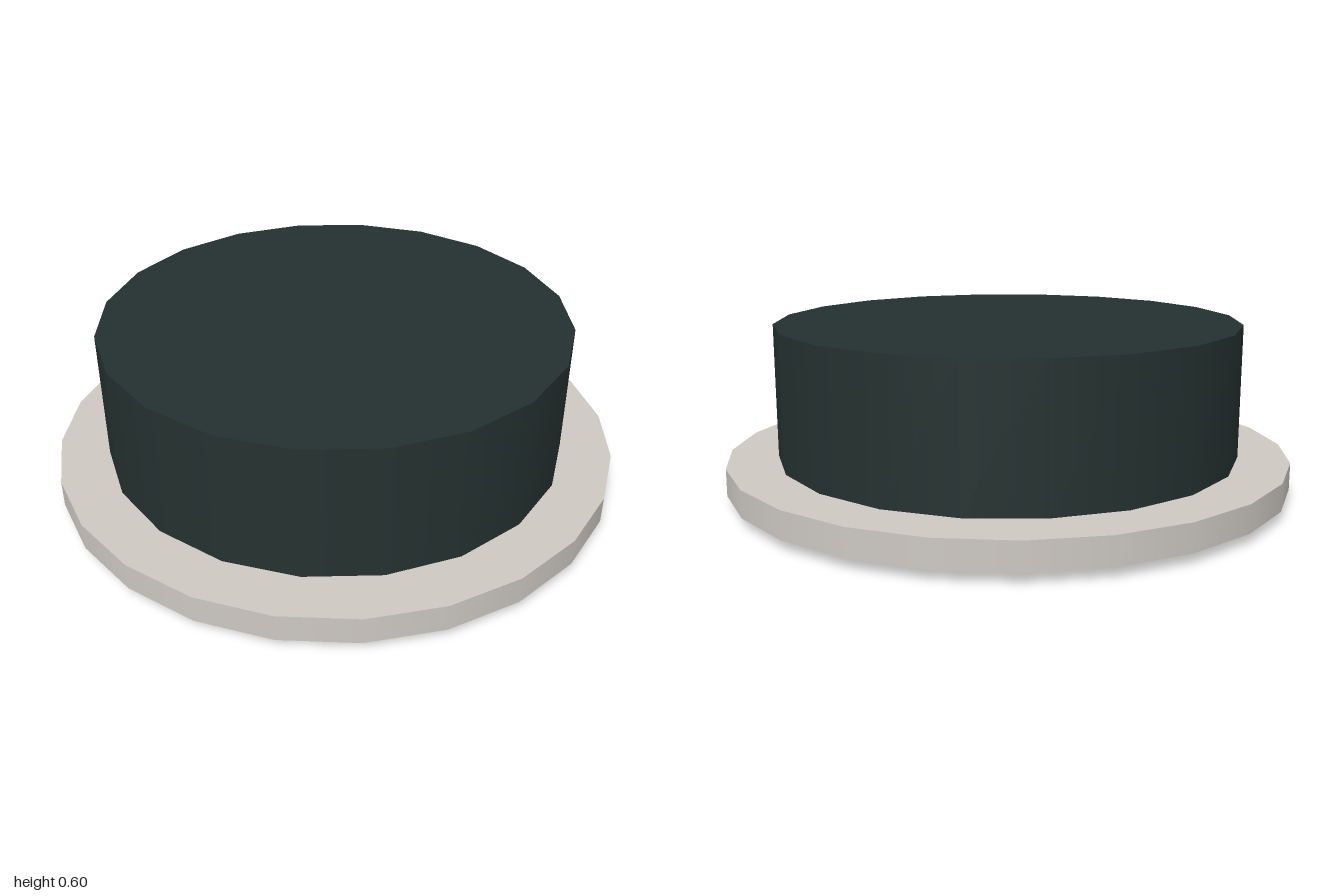
import * as THREE from 'three';

const dark = new THREE.MeshStandardMaterial({ name: 'dark slate', color: 0x243130 });
const grey = new THREE.MeshStandardMaterial({ name: 'warm grey', color: 0xcdc8c2 });

// Upright disc spanning bottom..top
function disc(name, radius, bottom, top, sides, material) {
  const geometry = new THREE.CylinderGeometry(radius, radius, top - bottom, sides);
  const mesh = new THREE.Mesh(geometry, material);
  mesh.name = name;
  mesh.position.y = (bottom + top) / 2;
  return mesh;
}

export function createModel() {
  const group = new THREE.Group();
  group.name = 'flangedCap';
  group.add(
    disc('basePlate', 0.765, 0, 0.035, 20, grey),
    disc('flange', 1, 0.035, 0.13, 24, grey),
    disc('capBody', 0.822, 0.13, 0.6, 20, dark),
  );
  return group;
}
